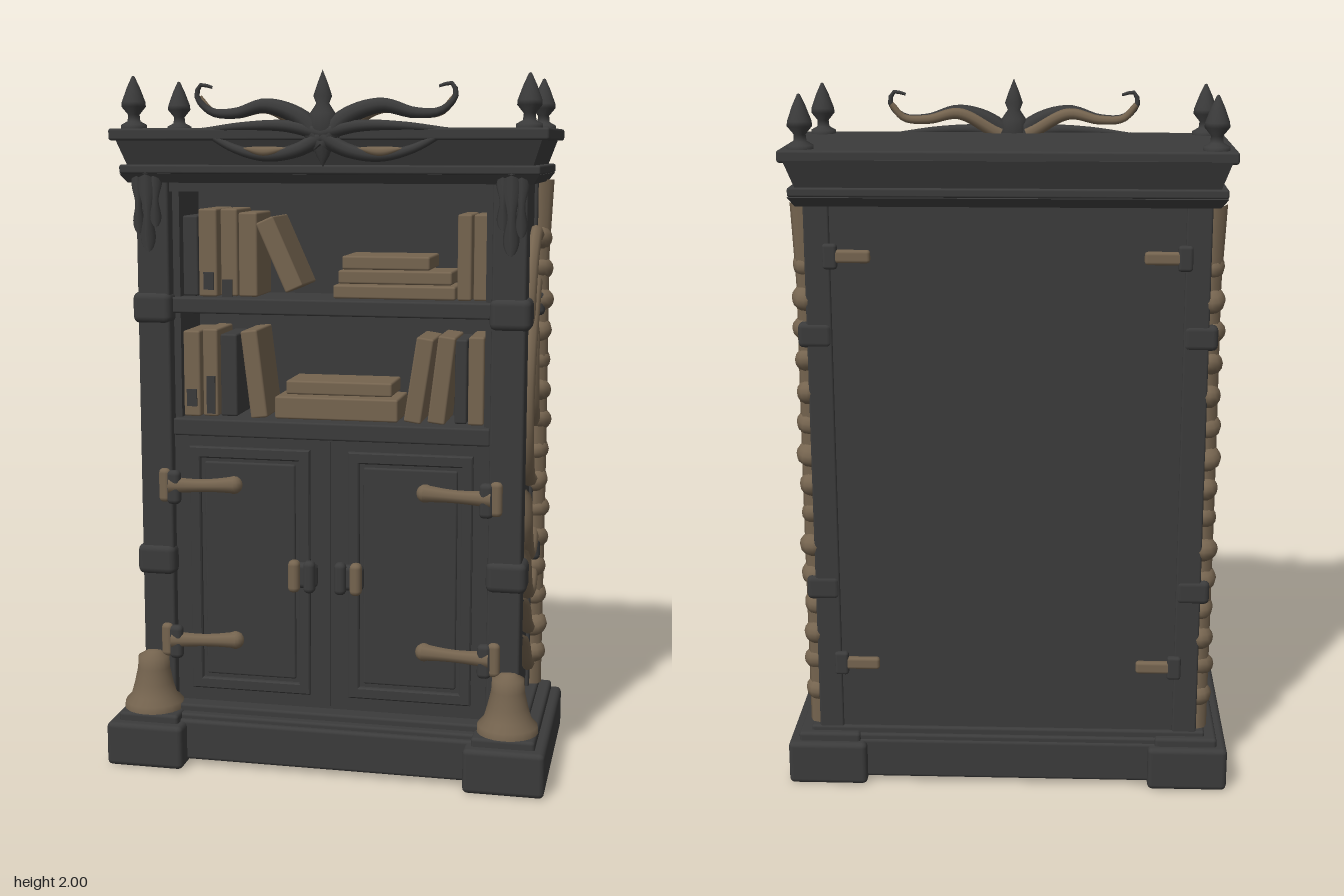
import * as THREE from 'three';
import { RoundedBoxGeometry } from 'three/addons/geometries/RoundedBoxGeometry.js';

export function createModel() {
  const root = new THREE.Group();
  root.name = 'cabinet';
  const dark = new THREE.MeshStandardMaterial({ name: 'charcoal wood', color: 0x3b3b3b });
  const bone = new THREE.MeshStandardMaterial({ name: 'aged bone', color: 0x75644f });
  const V = (x, y, z) => new THREE.Vector3(x, y, z);

  function add(name, geo, mat, x = 0, y = 0, z = 0, rz = 0) {
    const m = new THREE.Mesh(geo, mat);
    m.name = name;
    m.position.set(x, y, z);
    m.rotation.z = rz;
    root.add(m);
    return m;
  }
  // Box from its extents; r rounds the edges
  function box(name, mat, x0, x1, y0, y1, z0, z1, r = 0, rz = 0) {
    const w = Math.abs(x1 - x0), h = Math.abs(y1 - y0), d = Math.abs(z1 - z0);
    const geo = r ? new RoundedBoxGeometry(w, h, d, 2, r) : new THREE.BoxGeometry(w, h, d);
    return add(name, geo, mat, (x0 + x1) / 2, (y0 + y1) / 2, (z0 + z1) / 2, rz);
  }
  // Box whose top spreads wider than its bottom by g on every side
  function flare(name, hx, y0, y1, z0, z1, g) {
    const m = box(name, dark, -hx, hx, y0, y1, z0, z1);
    const p = m.geometry.attributes.position;
    for (let i = 0; i < p.count; i++) if (p.getY(i) > 0) {
      p.setX(i, p.getX(i) + Math.sign(p.getX(i)) * g);
      p.setZ(i, p.getZ(i) + Math.sign(p.getZ(i)) * g);
    }
    m.geometry.computeVertexNormals();
  }
  // Tube along points, with its radius given by a function of t
  function horn(name, mat, pts, radius) {
    const curve = new THREE.CatmullRomCurve3(pts), n = 28, sides = 8;
    const geo = new THREE.TubeGeometry(curve, n, 1, sides);
    const p = geo.attributes.position, v = V(0, 0, 0);
    for (let i = 0; i <= n; i++) {
      const c = curve.getPointAt(i / n), r = radius(i / n);
      for (let j = 0; j <= sides; j++) {
        const k = i * (sides + 1) + j;
        v.fromBufferAttribute(p, k).sub(c).multiplyScalar(r).add(c);
        p.setXYZ(k, v.x, v.y, v.z);
      }
    }
    return add(name, geo, mat);
  }
  const lathe = (pts, n = 20) => new THREE.LatheGeometry(pts.map(a => new THREE.Vector2(...a)), n);

  // Plinth
  box('plinth', dark, -0.5, 0.5, 0.015, 0.135, -0.28, 0.25, 0.01);
  box('plinthStep', dark, -0.6, 0.6, 0.12, 0.15, -0.275, 0.235, 0.008);
  box('plinthMoulding', dark, -0.575, 0.575, 0.14, 0.17, -0.265, 0.21, 0.008);

  // Carcass
  box('lowerCabinet', dark, -0.53, 0.53, 0.15, 1.0, -0.25, 0.16);
  box('upperBack', dark, -0.53, 0.53, 1.0, 1.71, -0.25, -0.04);
  box('backPanel', dark, -0.48, 0.48, 0.16, 1.71, -0.255, -0.24);
  box('counterRail', dark, -0.46, 0.46, 0.97, 1.02, -0.1, 0.175, 0.006);
  box('shelf', dark, -0.46, 0.46, 1.325, 1.37, -0.1, 0.175, 0.006);
  box('topRail', dark, -0.46, 0.46, 1.67, 1.72, -0.1, 0.175);
  box('doorSeam', dark, -0.004, 0.004, 0.18, 0.965, 0.15, 0.166);

  // Cornice
  flare('corniceBase', 0.57, 1.695, 1.72, -0.262, 0.212, 0.018);
  box('corniceBand', dark, -0.59, 0.59, 1.72, 1.745, -0.268, 0.228, 0.006);
  flare('corniceCove', 0.57, 1.745, 1.82, -0.26, 0.215, 0.026);
  box('corniceSlab', dark, -0.613, 0.613, 1.812, 1.845, -0.28, 0.248, 0.007);

  const finial = lathe([[0.036, 0], [0.036, 0.012], [0.018, 0.022], [0.016, 0.04], [0.034, 0.062],
    [0.033, 0.075], [0.018, 0.115], [0.004, 0.145], [0, 0.147]]);
  const foot = lathe([[0.088, 0], [0.086, 0.02], [0.068, 0.04], [0.058, 0.075], [0.048, 0.12],
    [0.046, 0.155], [0.02, 0.17], [0, 0.172]]);

  // Rib paths on the cabinet side as [z, y]
  const ribs = [
    [[-0.2, 1.53], [-0.1, 1.55], [0, 1.49], [0.07, 1.38], [0.085, 1.29]],
    [[-0.2, 1.41], [-0.12, 1.4], [-0.02, 1.29], [0.055, 1.13], [0.06, 0.97], [-0.01, 0.855], [-0.17, 0.82]],
    [[-0.08, 1.3], [-0.065, 1.21], [-0.1, 1.05], [-0.155, 0.98]],
    [[0.06, 0.83], [0.035, 0.71], [-0.07, 0.61], [-0.2, 0.66]],
    [[0.07, 0.655], [0.01, 0.54], [-0.1, 0.49], [-0.2, 0.55]],
    [[0.07, 0.505], [-0.02, 0.415], [-0.13, 0.365]],
    [[0.06, 0.39], [-0.02, 0.31], [-0.14, 0.245]],
  ];

  for (const s of [1, -1]) {
    // Corner blocks, posts and side
    box('plinthBlock', dark, s * 0.41, s * 0.64, 0, 0.13, -0.305, 0.305, 0.015);
    box('plinthBlockCap', dark, s * 0.43, s * 0.61, 0.12, 0.155, -0.285, 0.275, 0.01);
    box('frontPost', dark, s * 0.46, s * 0.555, 0.15, 1.71, 0.105, 0.19, 0.008);
    box('backPost', dark, s * 0.48, s * 0.55, 0.15, 1.71, -0.262, -0.16, 0.006);
    box('sidePanel', dark, s * 0.44, s * 0.54, 0.15, 1.71, -0.24, 0.15);
    for (const y of [1.34, 0.6]) {
      box('postBand', dark, s * 0.455, s * 0.57, y - 0.045, y + 0.045, 0.1, 0.2, 0.02);
      box('postBandBack', dark, s * 0.48, s * 0.575, y - 0.035, y + 0.035, -0.266, -0.16, 0.015);
    }
    for (const z of [0.19, -0.23]) add('finial', finial, dark, s * 0.555, 1.843, z);
    add('flaredFoot', foot, bone, s * 0.525, 0.155, 0.195);

    // Hanging drops under the cornice
    [[0.49, 1.57, 0.018], [0.513, 1.5, 0.024], [0.54, 1.55, 0.018]].forEach(([x, y, r]) =>
      horn('hangingDrop', dark, [V(s * x, 1.73, 0.205), V(s * x, (1.73 + y) / 2, 0.21), V(s * x, y, 0.208)],
        t => Math.max(0.001, r * (0.85 + 0.3 * Math.sin(t * 9)) * Math.sqrt(Math.max(0, 1 - t ** 6)))));

    // Doors: moulded frame around a raised field
    const frame = new THREE.Shape([[0.06, 0.215], [0.41, 0.215], [0.41, 0.935], [0.06, 0.935]]
      .map(a => new THREE.Vector2(...a)));
    frame.holes.push(new THREE.Path([[0.085, 0.24], [0.085, 0.91], [0.385, 0.91], [0.385, 0.24]]
      .map(a => new THREE.Vector2(...a))));
    const frameGeo = new THREE.ExtrudeGeometry(frame, { depth: 0.012, bevelSize: 0.004, bevelThickness: 0.004, bevelSegments: 1 });
    add('doorFrame', frameGeo, dark, s > 0 ? 0 : -0.47, 0, 0.158);
    box('doorField', dark, s * 0.1, s * 0.37, 0.255, 0.895, 0.15, 0.167, 0.006);

    // Door hinges and handles
    for (const y of [0.825, 0.36]) {
      horn('hingeStrap', bone, [V(s * 0.47, y, 0.19), V(s * 0.38, y, 0.18), V(s * 0.275, y + 0.006, 0.178)],
        t => 0.026 - 0.007 * Math.sin(t * 3.1));
      add('hingeStrapTip', new THREE.SphereGeometry(0.026, 12, 8), bone, s * 0.28, y + 0.005, 0.175);
      box('hingePlate', dark, s * 0.435, s * 0.475, y - 0.055, y + 0.045, 0.175, 0.208, 0.014);
      box('hingeKnuckle', bone, s * 0.465, s * 0.5, y - 0.05, y + 0.05, 0.175, 0.205, 0.014);
    }
    box('handlePlate', dark, s * 0.025, s * 0.11, 0.545, 0.62, 0.19, 0.225, 0.015);
    for (const [x, mat] of [[0.045, dark], [0.09, bone]])
      box('handleKnob', mat, s * (x - 0.017), s * (x + 0.017), 0.535, 0.63, 0.205, 0.243, 0.015);
    box('handleStem', dark, s * 0.05, s * 0.085, 0.565, 0.6, 0.15, 0.2);

    // Straps across the back corners
    for (const y of [1.56, 0.37]) {
      box('backStrap', bone, s * 0.37, s * 0.48, y - 0.018, y + 0.018, -0.272, -0.25, 0.009);
      box('backStrapPlate', dark, s * 0.46, s * 0.5, y - 0.035, y + 0.035, -0.274, -0.25, 0.009);
    }

    // Spine and ribs
    horn('spineCord', bone, [V(s * 0.553, 0.17, -0.215), V(s * 0.555, 0.9, -0.205), V(s * 0.55, 1.7, -0.215)],
      t => 0.03 + 0.012 * Math.max(0, t - 0.85) / 0.15);
    for (let i = 0; i < 15; i++) {
      const v = add('vertebra', new THREE.SphereGeometry(0.042, 12, 8), bone,
        s * 0.555, 0.27 + i * 0.09, -0.21 + 0.009 * Math.sin(i * 2.3));
      v.scale.set(0.95 + 0.1 * Math.sin(i * 1.7), 0.85, 1.15);
      v.rotation.x = 0.35 * Math.sin(i * 1.3);
    }
    for (const path of ribs)
      horn('rib', bone, path.map(([z, y]) => V(s * 0.55, y, z)),
        t => 0.022 * Math.sqrt(Math.max(0.02, 1 - (2 * t - 1) ** 10)));

    // Crest: curling horn, brow and lower lid
    horn('crestHorn', dark, [V(0, 1.8, 0.245), V(s * 0.06, 1.87, 0.24), V(s * 0.16, 1.905, 0.235), V(s * 0.25, 1.885, 0.225),
      V(s * 0.32, 1.89, 0.22), V(s * 0.36, 1.93, 0.22), V(s * 0.35, 1.962, 0.22), V(s * 0.315, 1.955, 0.22)],
      t => 0.027 * (1 - t) + 0.004);
    horn('crestHornBack', bone, [V(s * 0.04, 1.84, 0.224), V(s * 0.16, 1.9, 0.219), V(s * 0.25, 1.884, 0.211),
      V(s * 0.32, 1.889, 0.208), V(s * 0.357, 1.928, 0.208)], t => 0.021 - 0.012 * t);
    horn('crestBrow', dark, [V(0, 1.83, 0.255), V(s * 0.1, 1.85, 0.25), V(s * 0.22, 1.85, 0.245), V(s * 0.345, 1.838, 0.235)],
      t => 0.02 - 0.013 * t);
    horn('crestLid', dark, [V(0, 1.82, 0.255), V(s * 0.07, 1.785, 0.252), V(s * 0.16, 1.77, 0.248), V(s * 0.25, 1.79, 0.243),
      V(s * 0.345, 1.84, 0.235)], t => 0.022 - 0.014 * t);
    horn('crestLidInlay', bone, [V(s * 0.1, 1.79, 0.258), V(s * 0.16, 1.781, 0.256), V(s * 0.22, 1.79, 0.252)],
      t => 0.002 + 0.012 * Math.sin(t * 3.14));
  }

  // Crest centre: spike above, beak below
  add('crestSpike', lathe([[0, -0.1], [0.018, -0.07], [0.045, 0], [0.035, 0.045], [0.018, 0.07], [0.026, 0.09],
    [0.014, 0.125], [0, 0.16]], 12), dark, 0, 1.84, 0.24).scale.z = 0.75;

  // Books: [material, x0, x1, y0, y1, lean]
  const books = [
    [dark, -0.44, -0.395, 1.37, 1.6], [bone, -0.39, -0.335, 1.37, 1.62], [bone, -0.33, -0.28, 1.37, 1.62],
    [bone, -0.275, -0.22, 1.37, 1.61], [bone, -0.18, -0.125, 1.385, 1.6, 0.42],
    [bone, 0, 0.35, 1.37, 1.408], [bone, 0.015, 0.34, 1.412, 1.45], [bone, 0.03, 0.28, 1.454, 1.492],
    [bone, 0.355, 0.395, 1.37, 1.61], [bone, 0.4, 0.44, 1.37, 1.61],
    [bone, -0.44, -0.39, 1.02, 1.27], [bone, -0.385, -0.34, 1.02, 1.275], [dark, -0.335, -0.285, 1.02, 1.26],
    [bone, -0.255, -0.205, 1.02, 1.275, 0.12],
    [bone, -0.17, 0.19, 1.02, 1.085], [bone, -0.14, 0.17, 1.09, 1.13],
    [bone, 0.225, 0.275, 1.02, 1.265, -0.15], [bone, 0.29, 0.34, 1.02, 1.27, -0.12],
    [dark, 0.35, 0.385, 1.02, 1.26], [bone, 0.39, 0.435, 1.02, 1.27],
  ];
  books.forEach(([mat, x0, x1, y0, y1, lean = 0], i) =>
    box('book', mat, x0, x1, y0, y1, -0.05, 0.12 + 0.012 * Math.sin(i * 2), 0.006, lean));
  // Worn dark patches on the book spines
  [[-0.375, -0.345, 1.39, 1.44], [-0.32, -0.29, 1.37, 1.42], [-0.43, -0.4, 1.05, 1.1], [-0.37, -0.345, 1.03, 1.14]]
    .forEach(([x0, x1, y0, y1]) => box('wornPatch', dark, x0, x1, y0, y1, 0.13, 0.136));

  return root;
}
